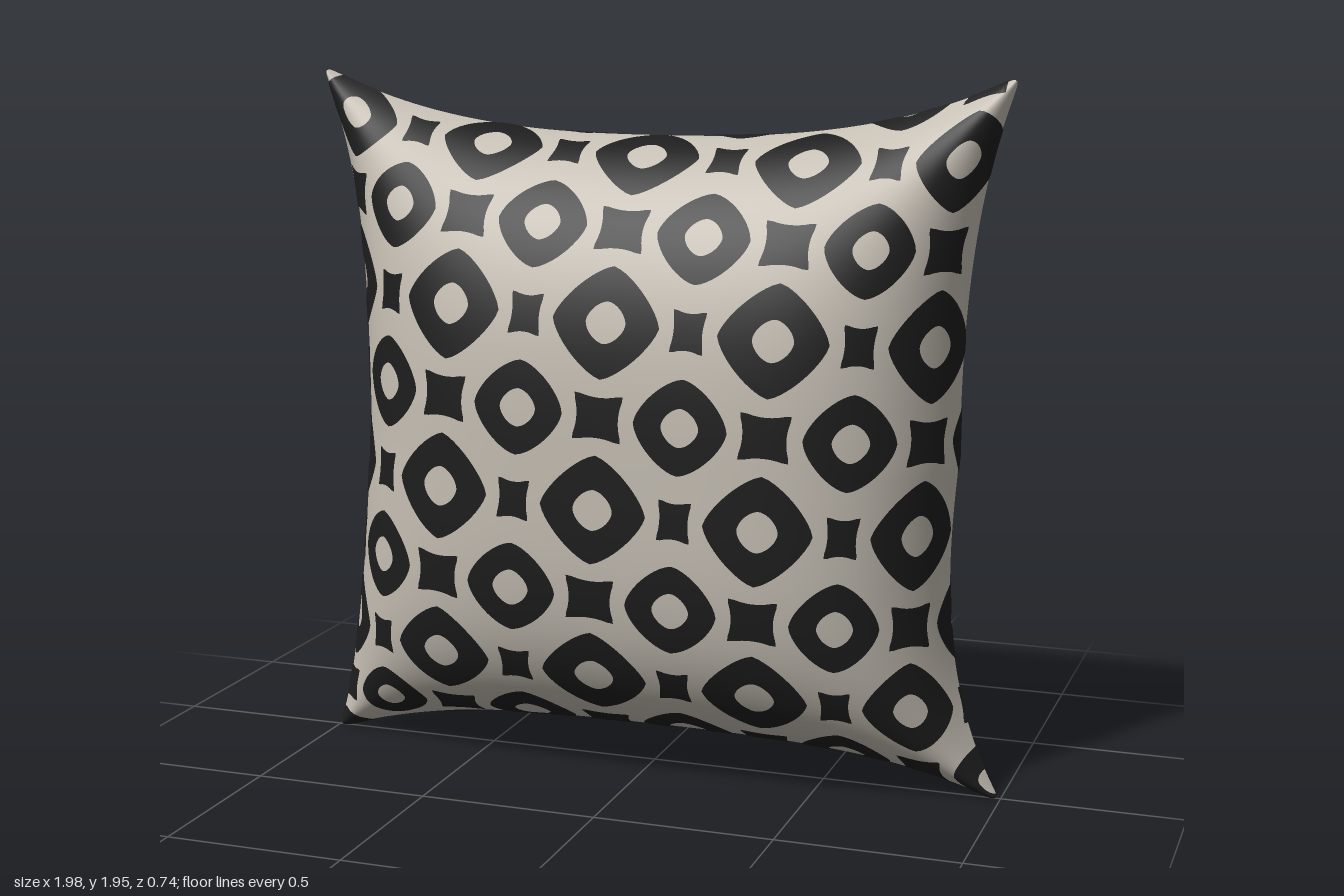
import * as THREE from 'three';

const L = 1.04;        // half size of the flat cloth
const DEPTH = 0.37;    // half thickness at the middle

const clamp = (a) => Math.max(-L, Math.min(L, a));
// cross-section of the stuffing: full in the middle, falling to the seam
const swell = (t, n, k) => Math.pow(Math.max(0, Math.cos((Math.PI / 2) * Math.pow(Math.abs(t), n))), k);
const flare = (t) => Math.pow(t, 2.6);

// point of the cushion above cloth position (u, v); side is +1 front, -1 back
function place(u, v, side) {
  const w = v / L, s = Math.abs(u) / L, t = Math.abs(w);
  const a = swell(s, 2, 1.2);
  const b = swell(w + 0.06 * (1 - w * w), 1.6, 1.15);   // fuller below the middle
  const full = a * b / Math.sqrt(a * a + b * b - a * a * b * b + 1e-9);
  const z = DEPTH * Math.pow(full, 1 - 0.3 * (s * t) ** 8);   // plump corner tips
  const sag = 0.03 * s * s * Math.sin(Math.PI * Math.max(0, -w));
  const seamShift = 0.025 * Math.pow(Math.max(0, w), 4) * (1 - s * s);
  const blunt = 0.02 * (s * t) ** 40;
  return new THREE.Vector3(
    u * (1 - s ** 4 * (0.17 - 0.137 * flare(t))) - sag - Math.sign(u) * blunt,
    0.953 + v * (1 - t ** 4 * (0.2 - 0.15 * flare(s))) + 0.027 * flare(s) * flare(t) - Math.sign(v) * blunt,
    side * z - seamShift
  );
}

function normalAt(u, v, side) {
  const e = 0.004, k = 0.99;
  const du = place(u * k + e, v * k, side).sub(place(u * k - e, v * k, side));
  const dv = place(u * k, v * k + e, side).sub(place(u * k, v * k - e, side));
  return du.cross(dv).multiplyScalar(side).normalize();
}

// surface patch from a grid of cloth positions, lifted slightly off the cushion
function patch(rows, cols, cloth, side, lift) {
  const pos = [], nor = [], idx = [];
  for (let j = 0; j <= rows; j++) {
    for (let i = 0; i <= cols; i++) {
      const [cu, cv] = cloth(i / cols, j / rows);
      const u = clamp(cu), v = clamp(cv);
      const n = normalAt(u, v, side);
      const p = place(u, v, side).addScaledVector(n, lift);
      pos.push(p.x, p.y, p.z);
      nor.push(n.x, n.y, n.z);
      if (i < cols && j < rows) {
        const a = j * (cols + 1) + i, b = a + 1, c = a + cols + 1, d = c + 1;
        if (side > 0) idx.push(a, b, d, a, d, c);
        else idx.push(a, d, b, a, c, d);
      }
    }
  }
  const g = new THREE.BufferGeometry();
  g.setAttribute('position', new THREE.Float32BufferAttribute(pos, 3));
  g.setAttribute('normal', new THREE.Float32BufferAttribute(nor, 3));
  g.setIndex(idx);
  return g;
}

// printed motif between an inner and an outer outline given as radius of angle
function motif(cu, cv, inner, outer, sx, sy) {
  const tilt = -0.06, ct = Math.cos(tilt), st = Math.sin(tilt);
  return patch(6, 48, (f, r) => {
    const th = -f * Math.PI * 2;
    const rad = inner(th) + (outer(th) - inner(th)) * r;
    const x = Math.cos(th) * rad * sx, y = Math.sin(th) * rad * sy;
    return [cu + x * ct - y * st, cv + x * st + y * ct];
  }, 1, 0.003);
}

// rounded diamond for p > 1, four-pointed star for p < 1
const diamond = (R, p) => (th) =>
  R * Math.pow(Math.abs(Math.cos(th)) ** p + Math.abs(Math.sin(th)) ** p, -1 / p);
// star with blunt points on the diagonals
const star = (tip) => (th) => Math.min(tip, diamond(tip * 1.2, 0.68)(th + Math.PI / 4));

export function createModel() {
  const linen = new THREE.MeshStandardMaterial({ color: 0xc5beb3 });
  linen.name = 'linen';
  const charcoal = new THREE.MeshStandardMaterial({ color: 0x1d1d1e });
  charcoal.name = 'charcoal';

  const model = new THREE.Group();
  model.name = 'cushion';
  const add = (parent, geometry, material, name) => {
    const m = new THREE.Mesh(geometry, material);
    m.name = name;
    parent.add(m);
  };

  // two halves of the cover, with finer cells towards the seam
  const spread = (f) => L * Math.sin((f - 0.5) * Math.PI);
  const cover = (i, j) => [spread(i), spread(j)];
  add(model, patch(100, 100, cover, 1, 0), linen, 'frontCover');
  add(model, patch(100, 100, cover, -1, 0), charcoal, 'backCover');

  // printed pattern: tilted lattice of rings, with stars between them
  const print = new THREE.Group();
  print.name = 'frontPrint';
  model.add(print);
  const A = [0.458, -0.028], B = [0.03, 0.503], O = [-0.262, 0.127];
  const inside = (u, v, r) => Math.abs(u) < L + r && Math.abs(v) < L + r;
  const kinds = [
    { shift: 0, R: 0.129, p: 1.48, hole: 0.052, tip: 0.093, sx: 1.03, sy: 0.95 },
    { shift: 0.5, R: 0.15, p: 1.35, hole: 0.056, tip: 0.073, sx: 0.88, sy: 1.08 },
  ];
  for (const k of kinds) {
    for (let i = -4; i <= 4; i++) {
      for (let j = -4; j <= 4; j++) {
        const a = i + k.shift, b = j + k.shift;
        const u = O[0] + a * A[0] + b * B[0], v = O[1] + a * A[1] + b * B[1];
        if (inside(u, v, 0.1)) {
          add(print, motif(u, v, diamond(k.hole, 1.65), diamond(k.R, k.p), 1, 1), charcoal, 'printedRing');
        }
        const su = u + A[0] / 2, sv = v + A[1] / 2;
        if (inside(su, sv, 0.04)) {
          add(print, motif(su, sv, () => 0, star(k.tip), k.sx, k.sy), charcoal, 'printedStar');
        }
      }
    }
  }
  return model;
}
